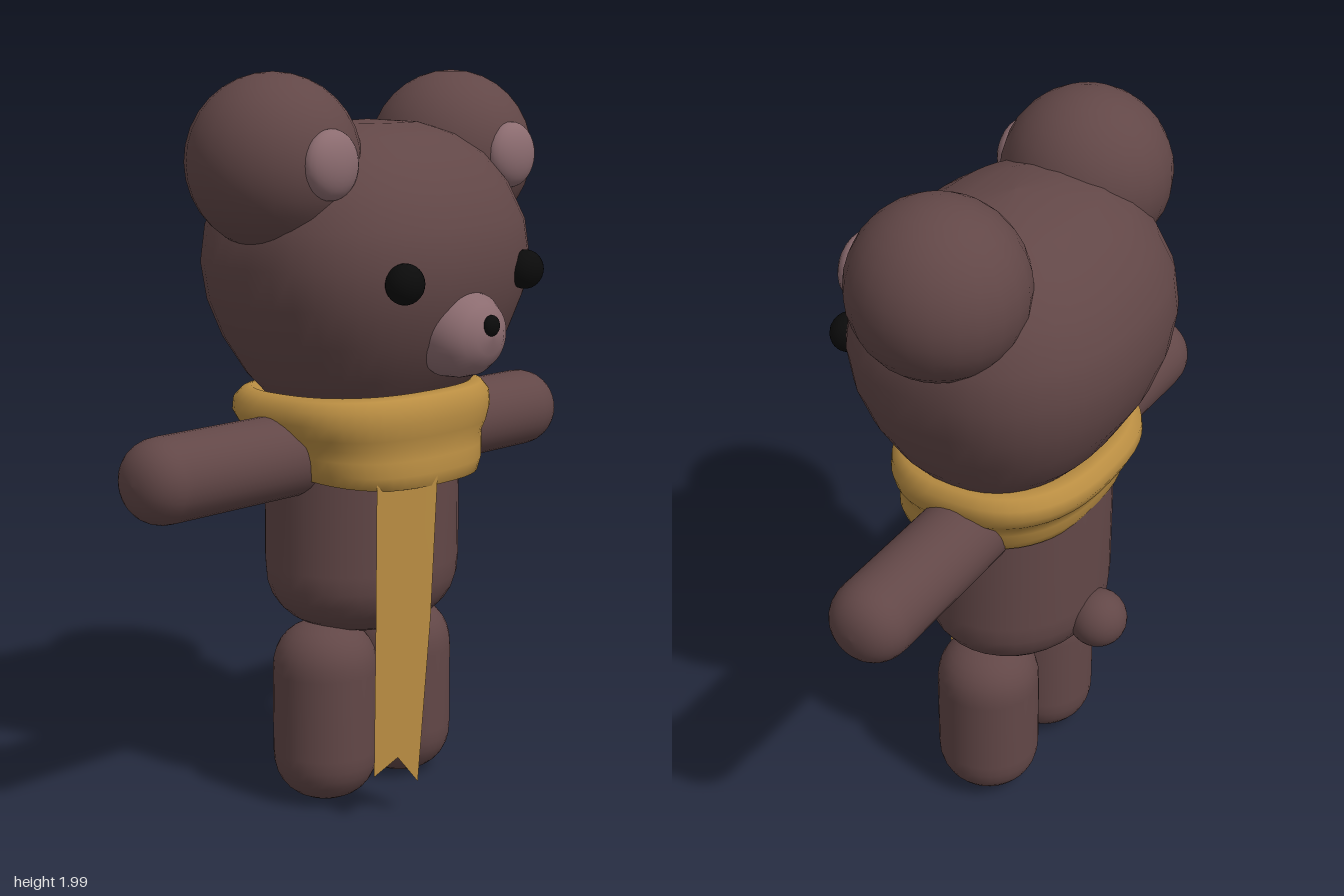
import * as THREE from 'three';

const CX = -0.035, CZ = -0.02; // shared centre line; the face looks along +x

function material(name, color) {
  const m = new THREE.MeshStandardMaterial({ color });
  m.name = name;
  return m;
}

// Skin over rings [y, rx, rz, cx, cz], bottom to top, each a rounded-square outline
function loft(rings, power = 2, n = 40) {
  const pos = [], index = [];
  const round = (v) => Math.sign(v) * Math.abs(v) ** (2 / power);
  for (const [y, rx, rz, cx = 0, cz = 0] of rings) {
    for (let j = 0; j < n; j++) {
      const t = (j / n) * Math.PI * 2;
      pos.push(cx + rx * round(Math.cos(t)), y, cz + rz * round(Math.sin(t)));
    }
  }
  for (let i = 0; i < rings.length - 1; i++) {
    for (let j = 0; j < n; j++) {
      const a = i * n + j, b = i * n + (j + 1) % n;
      index.push(a, a + n, b, b, a + n, b + n);
    }
  }
  const g = new THREE.BufferGeometry();
  g.setAttribute('position', new THREE.Float32BufferAttribute(pos, 3));
  g.setIndex(index);
  g.computeVertexNormals();
  return g;
}

// Upright pill with softly squared ends
function pill(y0, y1, rx, rz, cap, power = 2.3) {
  const rings = [], steps = 8;
  const e = 2 / power;
  for (let i = 0; i <= steps; i++) {
    const t = (i / steps) * Math.PI / 2;
    const s = Math.sin(t) ** e;
    rings.push([y0 + cap * (1 - Math.max(0, Math.cos(t)) ** e), rx * s, rz * s]);
  }
  const top = rings.map(([y, a, b]) => [y0 + y1 - y, a, b]).reverse();
  return loft([...rings, ...top], 2, 32);
}

export function createModel() {
  const group = new THREE.Group();
  const fur = material('brown fur', 0x624747);
  const pink = material('dusty pink', 0x8c6c70);
  const black = material('black', 0x0b0b0b);
  const gold = material('gold cloth', 0xb98d42);

  function add(name, geometry, mat, x = 0, y = 0, z = 0) {
    const mesh = new THREE.Mesh(geometry, mat);
    mesh.name = name;
    mesh.position.set(x, y, z);
    group.add(mesh);
    return mesh;
  }
  function ball(name, mat, x, y, z, rx, ry = rx, rz = rx) {
    const mesh = add(name, new THREE.SphereGeometry(1, 24, 16), mat, x, y, z);
    mesh.scale.set(rx, ry, rz);
    return mesh;
  }

  // Head: wide, flattened on top
  add('head', loft([
    [1.08, 0, 0], [1.09, 0.14, 0.2], [1.13, 0.21, 0.29], [1.2, 0.275, 0.35],
    [1.3, 0.335, 0.41], [1.4, 0.37, 0.45], [1.5, 0.385, 0.465], [1.6, 0.37, 0.455],
    [1.7, 0.325, 0.41], [1.78, 0.26, 0.345], [1.83, 0.19, 0.265], [1.863, 0.1, 0.16],
    [1.872, 0, 0],
  ], 2.4), fur, CX, 0, CZ - 0.005);

  // Torso and tail
  add('body', pill(0.47, 1.25, 0.25, 0.292, 0.2, 2.4), fur, -0.04, 0, -0.01);
  ball('tail', fur, -0.305, 0.61, CZ, 0.083);

  // Muzzle and nose
  const muzzle = [[0, 0.128], [0.05, 0.126], [0.09, 0.115], [0.12, 0.09], [0.14, 0.055], [0.15, 0]];
  const snout = add('muzzle', loft(muzzle.map(([y, r]) => [y, r * 0.93, r])), pink, 0.257, 1.322, -0.025);
  snout.rotation.z = -Math.PI / 2;
  ball('nose', black, 0.402, 1.35, CZ, 0.018, 0.028, 0.028);

  // Paired parts
  for (const s of [1, -1]) {
    const side = s > 0 ? 'left' : 'right';
    ball(side + 'Ear', fur, -0.04, 1.77, -0.027 + s * 0.358, 0.23);
    ball(side + 'InnerEar', pink, 0.17, 1.77, -0.025 + s * 0.365, 0.05, 0.09, 0.09);
    ball(side + 'Eye', black, 0.318, 1.472, -0.022 + s * 0.248, 0.048, 0.053, 0.055);
    add(side + 'Leg', pill(0.01, 0.515, 0.145, 0.145, 0.14), fur, CX, 0, -0.008 + s * 0.157);
    const arm = add(side + 'Arm', pill(0.15, 0.828, 0.113, 0.113, 0.11), fur, -0.052, 0.993, 0);
    arm.rotation.x = s * Math.PI / 2;
  }

  // Scarf: two soft folds, its lower fold rising towards the back
  const scarf = loft([
    [0.95, 0.2, 0.22, -0.02], [0.91, 0.245, 0.27, -0.005], [0.915, 0.265, 0.295, -0.01],
    [0.95, 0.275, 0.312, -0.015], [0.99, 0.275, 0.322, -0.02], [1.02, 0.275, 0.328, -0.025],
    [1.05, 0.29, 0.35, -0.032], [1.09, 0.3, 0.366, -0.037], [1.13, 0.296, 0.364, -0.037],
    [1.155, 0.275, 0.345, -0.035], [1.163, 0.25, 0.32, -0.035], [1.14, 0.2, 0.26, -0.035],
  ], 2.5, 48);
  const p = scarf.attributes.position;
  for (let i = 0; i < p.count; i++) {
    const y = p.getY(i), lift = Math.max(0, 1.13 - y) * 0.5;
    p.setY(i, y + lift * Math.max(0, 0.22 - p.getX(i)));
  }
  scarf.computeVertexNormals();
  add('scarf', scarf, gold, 0, 0, -0.008);

  // Hanging scarf end with a notched hem: [left, middle, right] per row
  const cloth = gold.clone();
  cloth.name = 'gold cloth end';
  cloth.side = THREE.DoubleSide;
  const rows = [
    [[0.205, 0.96, 0.205], [0.235, 0.96, 0.115], [0.258, 0.96, 0.02]],
    [[0.21, 0.55, 0.215], [0.235, 0.55, 0.13], [0.256, 0.55, 0.045]],
    [[0.213, 0.14, 0.225], [0.232, 0.18, 0.15], [0.25, 0.1, 0.088]],
  ];
  const strip = new THREE.BufferGeometry();
  strip.setAttribute('position', new THREE.Float32BufferAttribute(rows.flat(2), 3));
  const index = [];
  for (const r of [0, 3]) {
    for (const c of [0, 1]) {
      const a = r + c;
      index.push(a, a + 3, a + 1, a + 1, a + 3, a + 4);
    }
  }
  strip.setIndex(index);
  strip.computeVertexNormals();
  add('scarfEnd', strip, cloth);

  return group;
}
